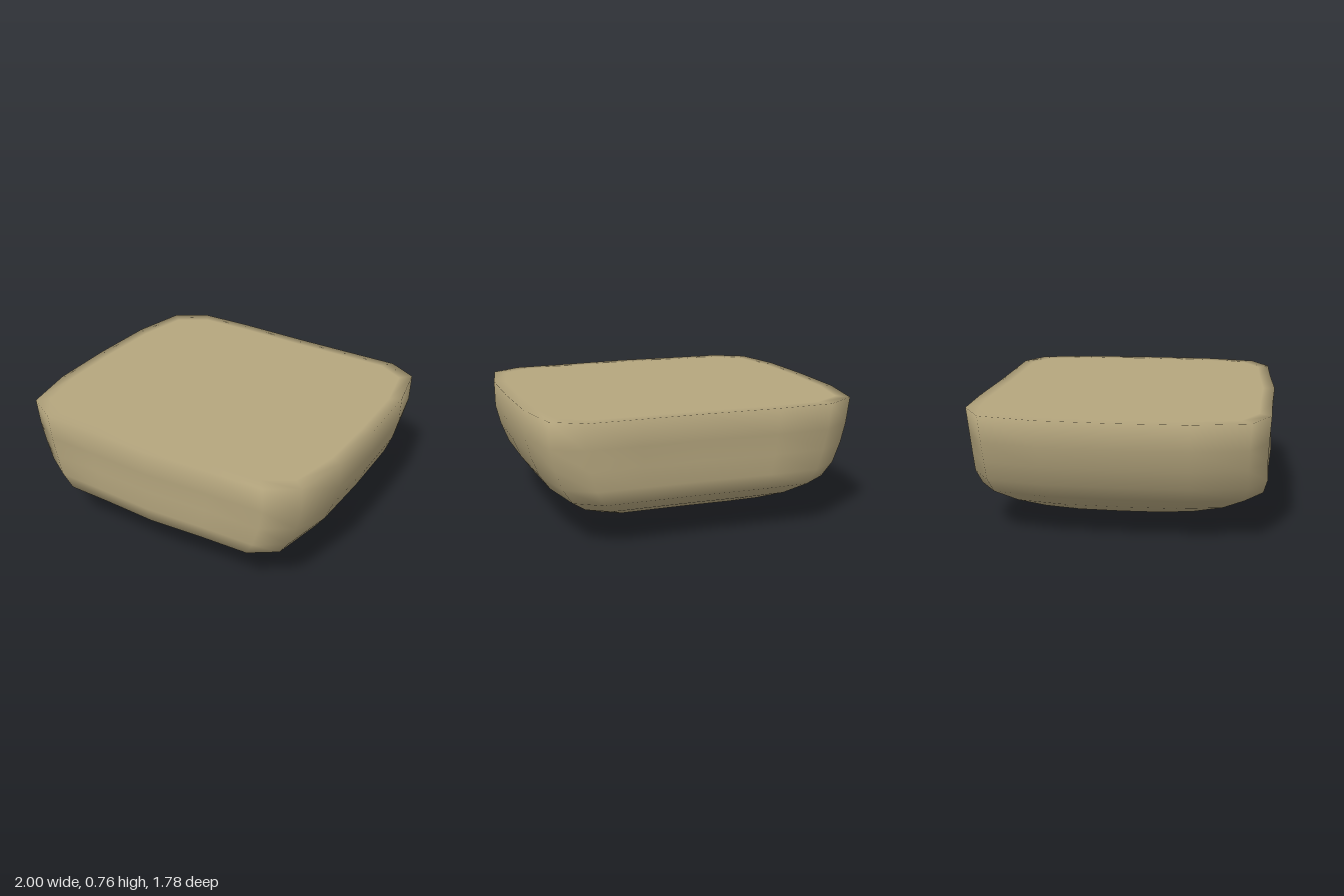
import * as THREE from 'three';

// Plan outline of the widest section, as [x, z]
const OUTLINE = [
  [-0.73, -0.89], [-0.4, -0.895], [0.07, -0.88], [0.42, -0.877], [0.74, -0.875],
  [0.92, -0.77], [0.985, -0.45], [1, 0], [0.995, 0.42], [0.93, 0.75],
  [0.75, 0.86], [0.4, 0.87], [0, 0.89], [-0.4, 0.87], [-0.73, 0.86],
  [-0.92, 0.75], [-0.988, 0.42], [-1, 0], [-0.988, -0.43], [-0.92, -0.77],
];

// Sections from the underside to the flat top: [y, left, right, back, front] scales
const SECTIONS = [
  [0.025, 0.18, 0.2, 0.2, 0.18],
  [0.06, 0.38, 0.38, 0.39, 0.38],
  [0.11, 0.58, 0.6, 0.61, 0.57],
  [0.185, 0.72, 0.745, 0.8, 0.8],
  [0.27, 0.84, 0.855, 0.945, 0.965],
  [0.36, 0.905, 0.92, 0.975, 0.99],
  [0.48, 0.955, 0.968, 0.978, 0.985],
  [0.6, 0.985, 0.998, 0.985, 0.99],
  [0.757, 1, 1, 1, 1],
  [0.757, 0.93, 0.93, 0.92, 0.92],
];

// Lofts the sections into one smooth closed surface with a pole at each end
function loftStone() {
  const n = OUTLINE.length;
  const positions = [];
  const index = [];
  for (const [y, left, right, back, front] of SECTIONS) {
    for (const [x, z] of OUTLINE) {
      positions.push(x * (x > 0 ? right : left), y, z * (z > 0 ? front : back));
    }
  }
  const last = (SECTIONS.length - 1) * n;
  const bottom = SECTIONS.length * n;
  const top = bottom + 1;
  positions.push(0, 0, 0.01, 0, 0.757, 0);
  for (let j = 0; j < n; j++) {
    const k = (j + 1) % n;
    for (let r = 0; r < last; r += n) {
      index.push(r + j, r + n + j, r + n + k, r + j, r + n + k, r + k);
    }
    index.push(bottom, j, k, top, last + k, last + j);
  }
  const geometry = new THREE.BufferGeometry();
  geometry.setAttribute('position', new THREE.Float32BufferAttribute(positions, 3));
  geometry.setIndex(index);
  geometry.computeVertexNormals();
  return geometry;
}

export function createModel() {
  const group = new THREE.Group();
  group.name = 'flatToppedStone';
  const sandstone = new THREE.MeshStandardMaterial({ color: 0xb5a67e });
  sandstone.name = 'sandstone';
  const stone = new THREE.Mesh(loftStone(), sandstone);
  stone.name = 'stoneBody';
  group.add(stone);
  return group;
}
